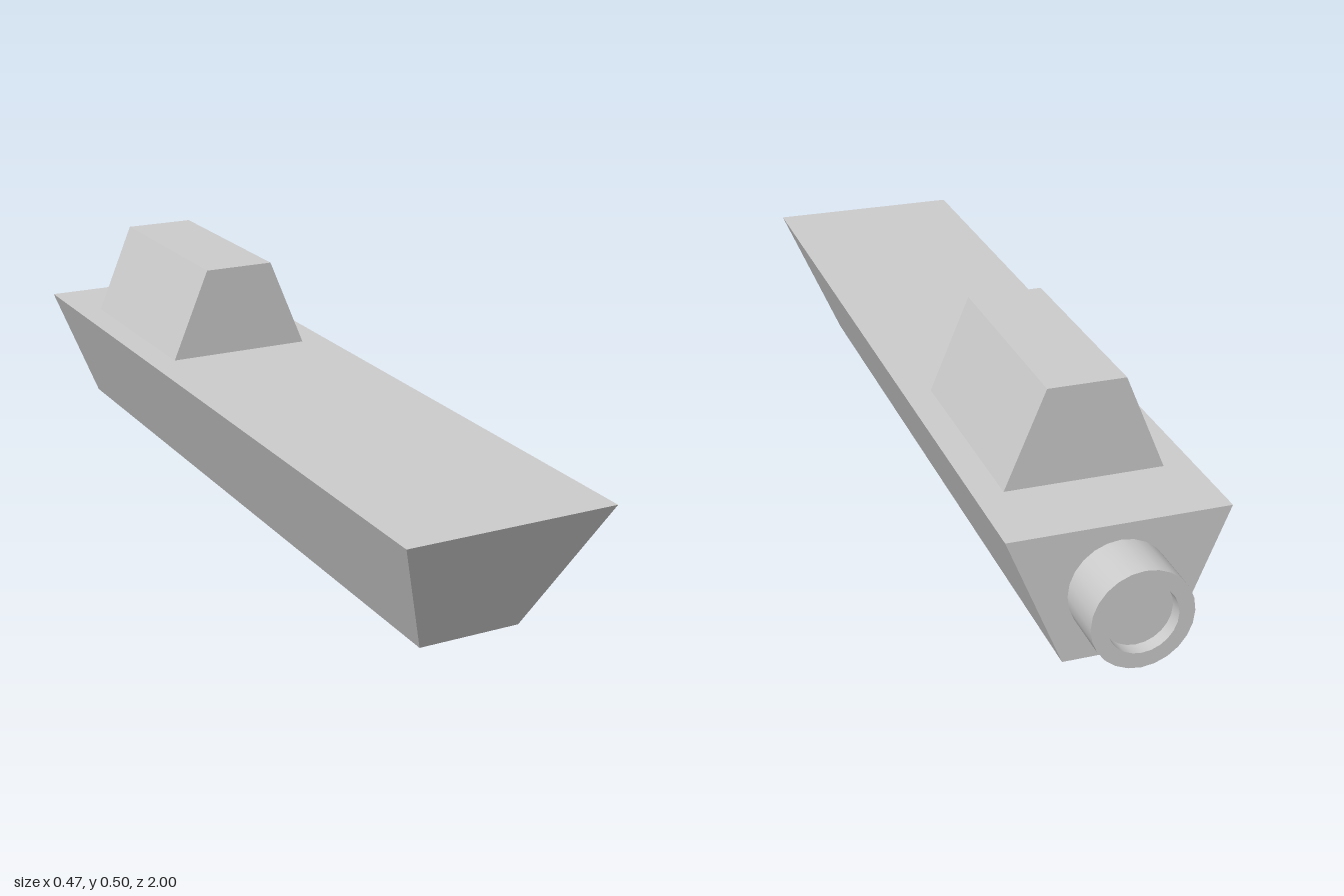
import * as THREE from 'three';
import { toCreasedNormals } from 'three/addons/utils/BufferGeometryUtils.js';

const material = new THREE.MeshStandardMaterial({ color: 0xcccccc });
const flatMaterial = new THREE.MeshStandardMaterial({ color: 0xcccccc, flatShading: true });

// Box with separate half width, back and front for its bottom and top faces
function taperedBox(name, bottom, top) {
  const geometry = new THREE.BoxGeometry(1, 1, 1);
  const pos = geometry.attributes.position;
  for (let i = 0; i < pos.count; i++) {
    const end = pos.getY(i) > 0 ? top : bottom;
    const z = pos.getZ(i) > 0 ? end.front : end.back;
    pos.setXYZ(i, Math.sign(pos.getX(i)) * end.half, end.y, z);
  }
  geometry.computeVertexNormals();
  const mesh = new THREE.Mesh(geometry, flatMaterial);
  mesh.name = name;
  return mesh;
}

export function createModel() {
  const model = new THREE.Group();
  model.name = 'boat';

  // Hull with flared sides and a raked bow
  model.add(taperedBox('hull',
    { y: 0, half: 0.115, back: -0.88, front: 0.86 },
    { y: 0.29, half: 0.235, back: -0.88, front: 1 }));

  // Cabin with sloping sides
  model.add(taperedBox('cabin',
    { y: 0.29, half: 0.172, back: -0.69, front: -0.2 },
    { y: 0.502, half: 0.084, back: -0.69, front: -0.2 }));

  // Stern nozzle: a short cylinder with a shallow round recess
  const profile = [[0.107, 0], [0.107, 0.12], [0.074, 0.12], [0.074, 0.09], [0, 0.09]]
    .map(([r, y]) => new THREE.Vector2(r, y));
  const nozzle = new THREE.Mesh(
    toCreasedNormals(new THREE.LatheGeometry(profile, 24), Math.PI / 5), material);
  nozzle.name = 'nozzle';
  nozzle.rotation.x = -Math.PI / 2;
  nozzle.position.set(0, 0.148, -0.88);
  model.add(nozzle);

  return model;
}
